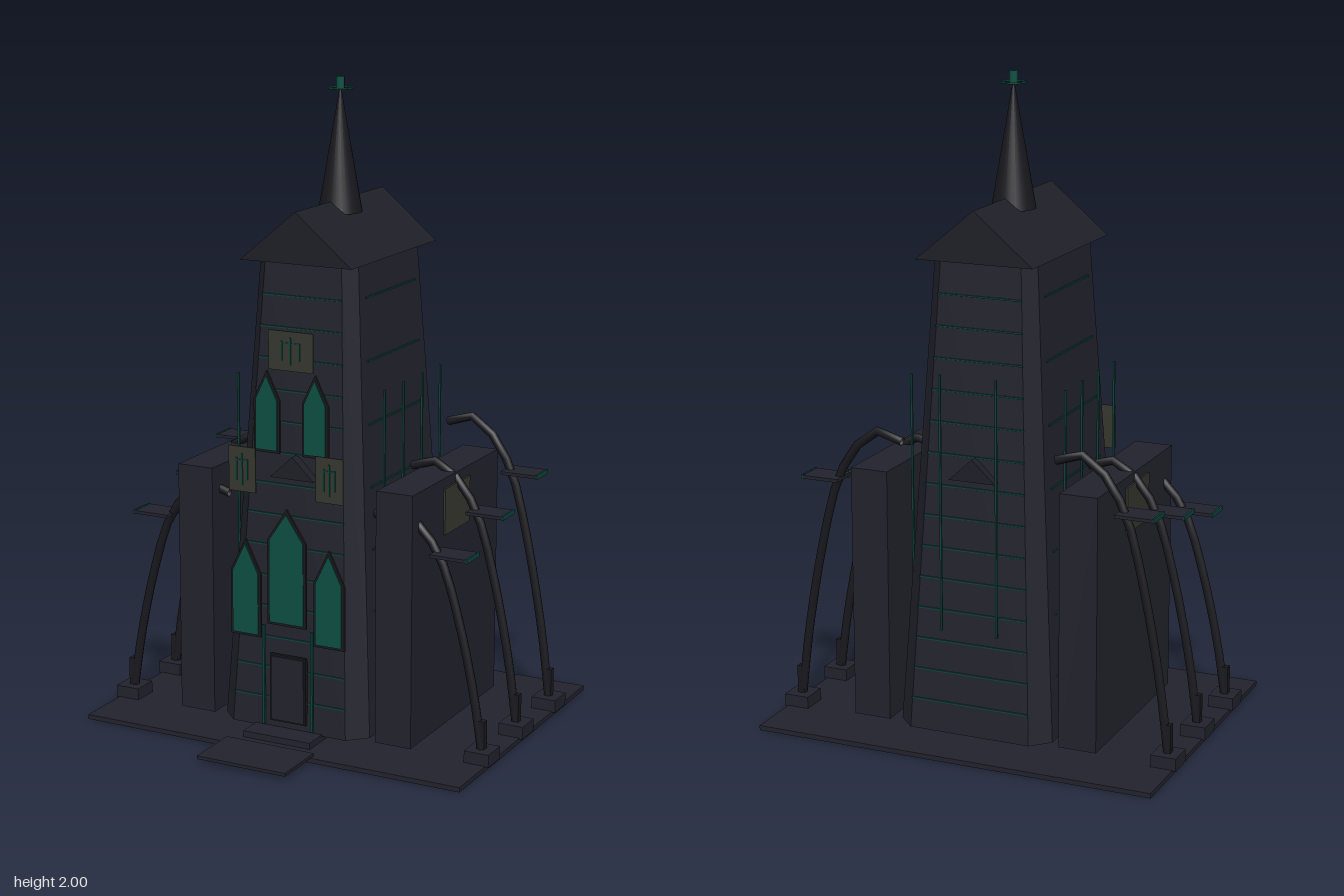
import * as THREE from 'three';

const mat = (name, color) => { const m = new THREE.MeshStandardMaterial({ color, side: THREE.DoubleSide }); m.name = name; return m; };

export function createModel() {
  const stone = mat('stone', 0x23232e), roofStone = mat('roof stone', 0x1f1f28), iron = mat('iron', 0x1a1a1f);
  const glass = mat('green glass', 0x0e5044), trim = mat('green trim', 0x0d443b), panelMat = mat('olive panel', 0x36382f);
  const CZ = -0.08; // tower axis
  const model = new THREE.Group();

  const add = (name, geo, m, x = 0, y = 0, z = 0) => {
    const mesh = new THREE.Mesh(geo, m);
    mesh.name = name;
    mesh.position.set(x, y, z);
    model.add(mesh);
    return mesh;
  };
  // box given by its extents
  const block = (name, m, x0, x1, y0, y1, z0, z1) =>
    add(name, new THREE.BoxGeometry(x1 - x0, y1 - y0, z1 - z0), m, (x0 + x1) / 2, (y0 + y1) / 2, (z0 + z1) / 2);
  const extrude = (pts, depth) => new THREE.ExtrudeGeometry(
    new THREE.Shape(pts.map(p => new THREE.Vector2(...p))), { depth, bevelEnabled: false });

  // Ground slab and entrance steps
  block('baseSlab', stone, -0.64, 0.64, 0, 0.015, -0.565, 0.4);
  block('frontStep', stone, -0.15, 0.15, 0.014, 0.024, 0.38, 0.56);
  block('doorStep', stone, -0.115, 0.115, 0.015, 0.035, 0.2, 0.34);

  // Tapered tower with chamfered corners
  const Y0 = 0.03, Y1 = 1.47;
  const lerp = (a, b, y) => a + (b - a) * (y - Y0) / (Y1 - Y0);
  const halfX = y => lerp(0.25, 0.165, y), halfZ = y => lerp(0.34, 0.24, y), chamfer = y => lerp(0.055, 0.035, y);
  const plan = y => {
    const a = halfX(y), b = halfZ(y), c = chamfer(y);
    return [[a, b - c], [a - c, b], [c - a, b], [-a, b - c], [-a, c - b], [c - a, -b], [a - c, -b], [a, c - b]];
  };
  const towerGeo = extrude(plan(Y0), Y1 - Y0);
  towerGeo.rotateX(-Math.PI / 2).translate(0, Y0, 0);
  const p = towerGeo.attributes.position, ratioX = halfX(Y1) / halfX(Y0), ratioZ = halfZ(Y1) / halfZ(Y0);
  for (let i = 0; i < p.count; i++) {
    const t = (p.getY(i) - Y0) / (Y1 - Y0);
    p.setX(i, p.getX(i) * (1 + (ratioX - 1) * t));
    p.setZ(i, p.getZ(i) * (1 + (ratioZ - 1) * t));
  }
  towerGeo.computeVertexNormals();
  add('tower', towerGeo, stone, 0, 0, CZ);

  // Thin horizontal courses around the tower
  for (let i = 0; i < 14; i++) {
    const y = 0.125 + i * 0.0955, w = halfX(y) - chamfer(y), d = halfZ(y);
    for (const s of [-1, 1])
      add('course', new THREE.BoxGeometry(2 * w, 0.005, 0.008), trim, 0, y, CZ + s * d);
    if (i % 2) for (const s of [-1, 1])
      add('sideCourse', new THREE.BoxGeometry(0.008, 0.005, 1.36 * d), trim, s * halfX(y), y, CZ);
  }

  // Gabled crossing roof and main roof
  add('crossGable', extrude([[-0.075, 0.82], [0.075, 0.82], [0, 0.89]], 0.625), roofStone, 0, 0, -0.39);
  add('mainRoof', extrude([[-0.187, 1.472], [0.187, 1.472], [0, 1.628]], 0.58), roofStone, 0, 0, -0.37);

  // Spire with finial and ring
  add('spire', new THREE.ConeGeometry(0.068, 0.39, 24), iron, 0, 1.785, CZ);
  add('finial', new THREE.CylinderGeometry(0.014, 0.014, 0.04, 8), glass, 0, 1.98, CZ);
  add('finialRing', new THREE.TorusGeometry(0.037, 0.003, 6, 24), glass, 0, 1.965, CZ).rotation.x = Math.PI / 2;

  // Pointed windows, each a dark frame plate with glass in front
  const lancet = (x, w, y0, shoulder, top, z) => {
    const outline = e => [[-w - e, y0 - e], [w + e, y0 - e], [w + e, shoulder], [0, top + e * 2], [-w - e, shoulder]];
    add('windowFrame', extrude(outline(0.008), 0.008), iron, x, 0, z - 0.009);
    add('windowGlass', extrude(outline(0), 0.003), glass, x, 0, z);
  };
  lancet(0, 0.058, 0.375, 0.635, 0.72, 0.272);
  for (const s of [-1, 1]) {
    lancet(s * 0.143, 0.044, 0.325, 0.52, 0.61, 0.27);
    lancet(s * 0.082, 0.036, 0.905, 1.06, 1.135, 0.242);
  }

  // Door and its glowing side lines
  block('doorFrame', iron, -0.062, 0.062, 0.055, 0.27, 0.255, 0.266);
  block('door', stone, -0.056, 0.056, 0.06, 0.264, 0.264, 0.27);
  for (const s of [-1, 1]) block('doorLine', trim, s * 0.083 - 0.004, s * 0.083 + 0.004, 0.04, 0.36, 0.262, 0.27);

  // Olive panels with small marks
  const frontPanel = (x, y, w, h, z) => {
    add('frontPanel', new THREE.BoxGeometry(w, h, 0.005), panelMat, x, y, z);
    for (const [dx, k] of [[-0.2, 0.5], [0, 0.7], [0.2, 0.45]])
      add('panelMark', new THREE.BoxGeometry(0.005, h * k, 0.003), trim, x + dx * w, y, z + 0.004);
    add('panelMark', new THREE.BoxGeometry(w * 0.4, 0.004, 0.003), trim, x, y + h * 0.2, z + 0.004);
  };
  frontPanel(0, 1.215, 0.15, 0.12, 0.238);
  for (const s of [-1, 1]) frontPanel(s * 0.148, 0.845, 0.092, 0.14, 0.274);

  // Slender upright rods beside and behind the tower
  for (const s of [-1, 1]) for (let i = 0; i < 4; i++)
    add('sideRod', new THREE.BoxGeometry(0.006, 0.74, 0.006), trim, s * 0.25, 0.73, -0.275 + i * 0.13);
  for (const x of [-0.09, 0.09])
    add('backRod', new THREE.BoxGeometry(0.006, 0.79, 0.006), trim, x, 0.75, -0.415);

  // Side aisles and flying buttresses, mirrored
  const archPath = [[0.61, 0.04], [0.58, 0.27], [0.525, 0.56], [0.467, 0.77], [0.4, 0.88], [0.33, 0.93], [0.25, 0.905]];
  for (const s of [-1, 1]) {
    add('aisle', new THREE.BoxGeometry(0.12, 0.79, 0.62), stone, s * 0.34, 0.425, CZ);
    add('aislePanel', new THREE.BoxGeometry(0.006, 0.145, 0.18), panelMat, s * 0.404, 0.717, -0.075);
    [[0.175, 0.81, 0.64], [-0.083, 0.908, 0.705], [-0.342, 1, 0.77]].forEach(([z, k, py]) => {
      const path = new THREE.CurvePath();
      const pts = archPath.map(([x, y]) => new THREE.Vector3(s * x, y * k, z));
      for (let i = 1; i < pts.length; i++) path.add(new THREE.LineCurve3(pts[i - 1], pts[i]));
      const curve = new THREE.CatmullRomCurve3(pts);
      add('buttressArch', new THREE.TubeGeometry(curve, 12, 0.014, 8), iron);
      add('buttressFoot', new THREE.BoxGeometry(0.08, 0.04, 0.085), stone, s * 0.61, 0.032, z);
      add('footPinnacle', new THREE.BoxGeometry(0.022, 0.09, 0.022), iron, s * 0.61, 0.095, z);
      add('perch', new THREE.BoxGeometry(0.12, 0.01, 0.09), stone, s * 0.51, py, z);
      add('perchEdge', new THREE.BoxGeometry(0.006, 0.014, 0.09), trim, s * 0.57, py, z);
    });
  }
  return model;
}
